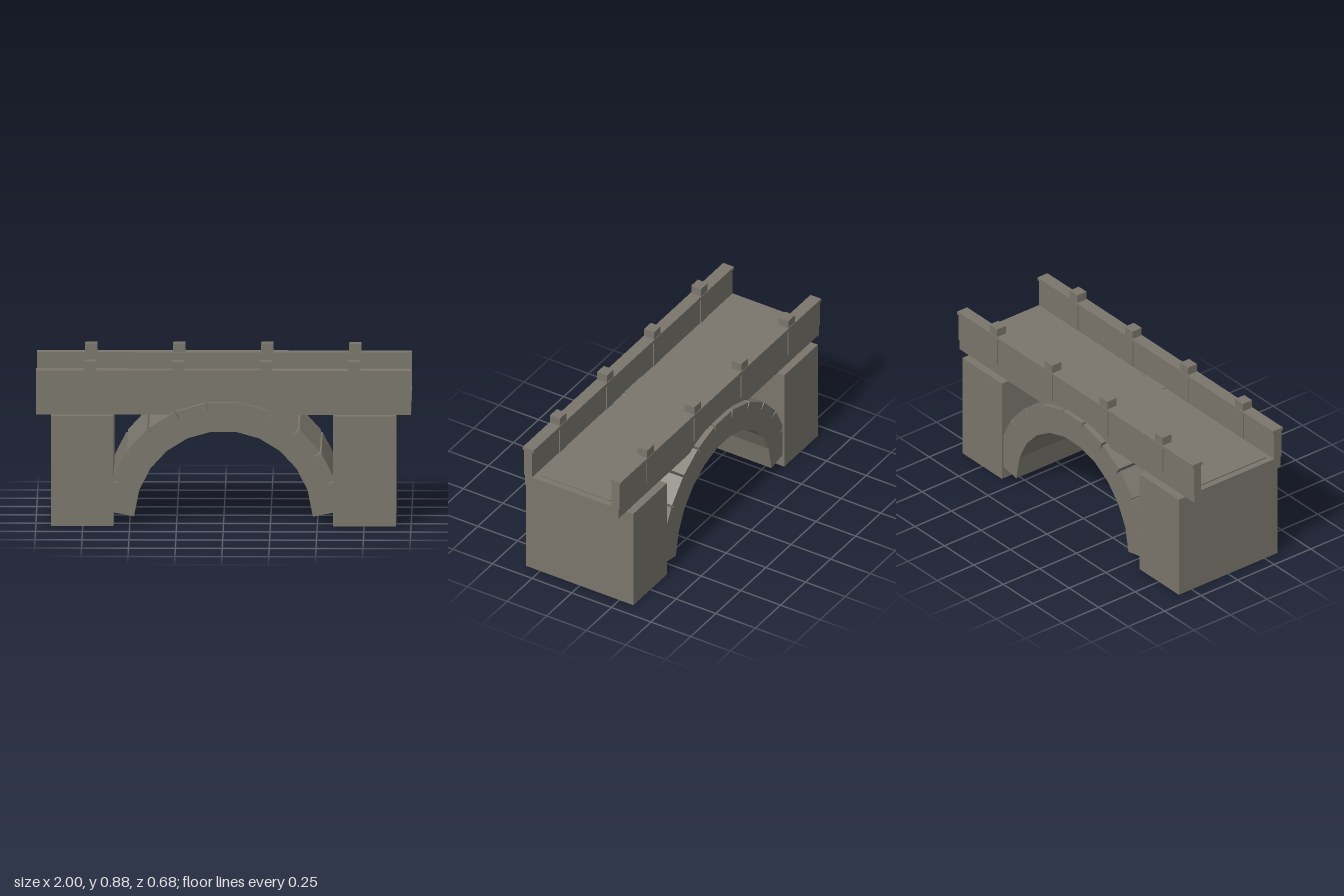
import * as THREE from 'three';

export function createModel() {
  const bridge = new THREE.Group();
  bridge.name = 'stoneBridge';
  const stone = new THREE.MeshStandardMaterial({ color: 0x7a766c });
  stone.name = 'greyStone';

  // Adds a box given its size and centre
  function box(name, [w, h, d], [x, y, z], parent = bridge) {
    const mesh = new THREE.Mesh(new THREE.BoxGeometry(w, h, d), stone);
    mesh.name = name;
    mesh.position.set(x, y, z);
    parent.add(mesh);
    return mesh;
  }

  // Deck slab with a slightly raised roadway
  box('deck', [2, 0.064, 0.588], [0, 0.629, 0]);
  box('roadway', [1.93, 0.02, 0.444], [0, 0.658, 0]);

  // Piers and parapets, mirrored left/right and front/back
  for (const side of [-1, 1]) {
    box('pier', [0.335, 0.597, 0.676], [side * 0.7525, 0.2985, 0]);

    const parapet = new THREE.Group();
    parapet.name = side > 0 ? 'frontParapet' : 'backParapet';
    bridge.add(parapet);
    const z = side * 0.275;
    box('parapetWall', [2, 0.164, 0.05], [0, 0.742, z], parapet);
    box('parapetCap', [2, 0.018, 0.068], [0, 0.829, z], parapet);
    for (let i = 0; i < 4; i++) {
      box('parapetPost', [0.066, 0.22, 0.062], [-0.709 + i * 0.469, 0.775, z], parapet);
    }
  }

  // Arch ring: straight blocks overlapping inside and leaving small notches outside
  const arch = new THREE.Group();
  arch.name = 'arch';
  bridge.add(arch);
  const inner = 0.47, outer = 0.626, centreY = 0.04;
  const step = THREE.MathUtils.degToRad(15.8);
  const mid = (inner + outer) / 2;
  for (let i = -5; i <= 5; i++) {
    const a = i * step;
    const block = box('archBlock', [0.16, outer - inner, 0.652],
      [Math.sin(a) * mid, centreY + Math.cos(a) * mid, 0], arch);
    block.rotation.z = -a;
  }

  return bridge;
}
